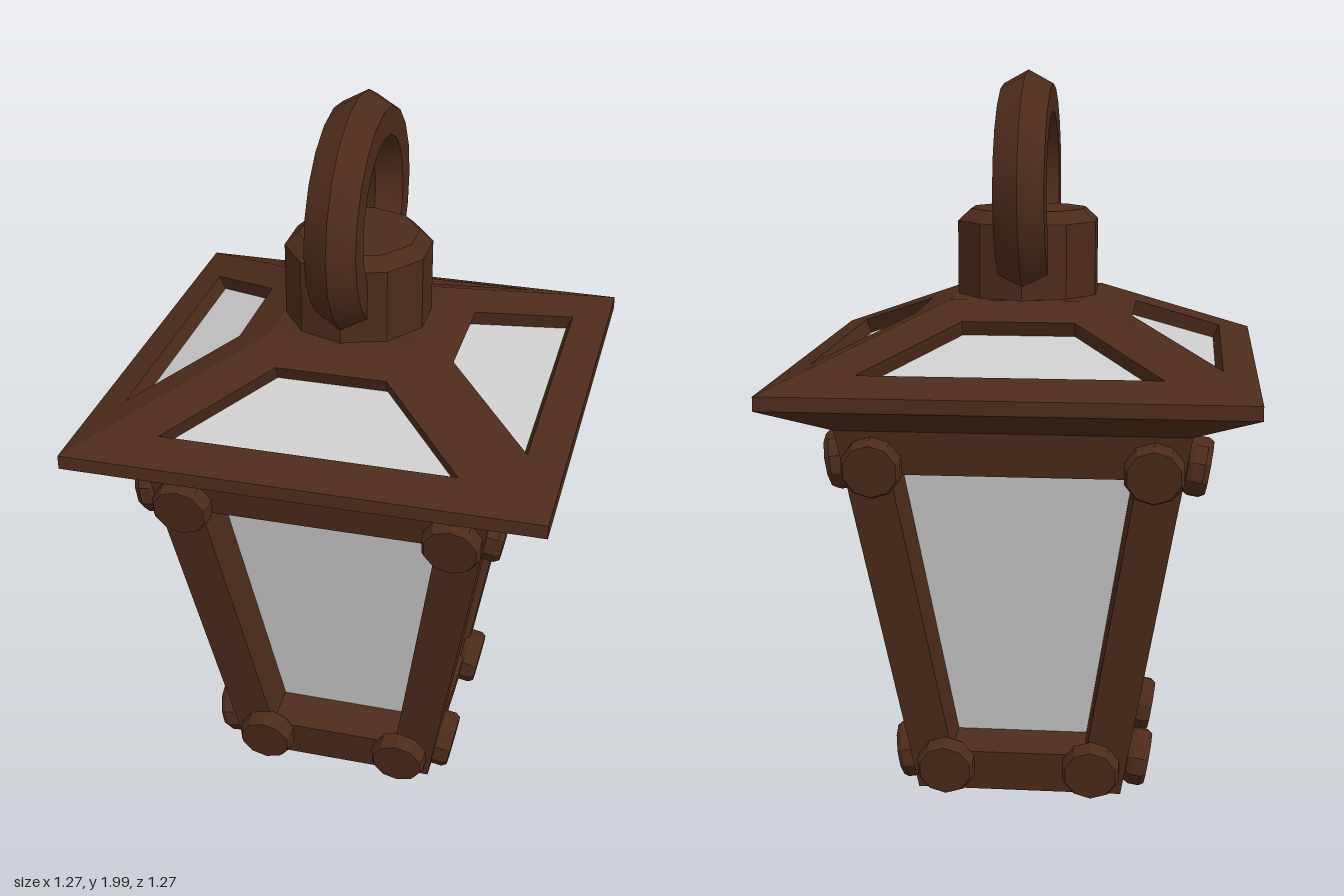
import * as THREE from 'three';
import { toCreasedNormals } from 'three/addons/utils/BufferGeometryUtils.js';

const BROWN = 0x4d2b1b;
const brown = new THREE.MeshStandardMaterial({ color: BROWN, flatShading: true });
const smoothBrown = new THREE.MeshStandardMaterial({ color: BROWN });
const glass = new THREE.MeshStandardMaterial({ color: 0xcccccc, flatShading: true });

function add(parent, name, geometry, material = brown) {
  const mesh = new THREE.Mesh(geometry, material);
  mesh.name = name;
  parent.add(mesh);
  return mesh;
}

// Quads given as four corners each, counter-clockwise from outside
function quads(list) {
  const pts = list.flatMap(([a, b, c, d]) => [a, b, c, a, c, d]);
  const g = new THREE.BufferGeometry().setFromPoints(pts);
  g.computeVertexNormals();
  return g;
}

// Symmetric trapezoid lying on a sloping side: [half width, y, z] at bottom and top
function trapezoid([w0, y0, z0], [w1, y1, z1]) {
  return [[-w0, y0, z0], [w0, y0, z0], [w1, y1, z1], [-w1, y1, z1]].map(p => new THREE.Vector3(...p));
}

// Frame with a recessed pane in its opening
function framedFace(parent, name, outer, hole, depth, taper) {
  const normal = new THREE.Vector3().crossVectors(
    outer[1].clone().sub(outer[0]), outer[3].clone().sub(outer[0])).normalize();
  const deep = hole.map(p => {
    const q = p.clone().addScaledVector(normal, -depth);
    q.x *= taper;
    return q;
  });
  const ring = (a, b) => a.map((_, i) => [a[i], a[(i + 1) % 4], b[(i + 1) % 4], b[i]]);
  add(parent, name + 'Frame', quads([...ring(outer, hole), ...ring(hole, deep)]));
  add(parent, name + 'Glass', quads([deep]), glass);
}

// Square ring of four sloping walls
function squareBand(parent, name, bottomHalf, topHalf, y0, y1) {
  const g = new THREE.CylinderGeometry(topHalf * Math.SQRT2, bottomHalf * Math.SQRT2, y1 - y0, 4, 1, true);
  g.rotateY(Math.PI / 4).translate(0, (y0 + y1) / 2, 0);
  add(parent, name, g);
}

export function createModel() {
  const lantern = new THREE.Group();
  lantern.name = 'lantern';

  // Body wall: half width grows with height
  const Y0 = 0.01, Y1 = 1.08, slope = 0.171;
  const half = y => 0.285 + slope * (y - Y0);
  const tilt = Math.atan(slope);

  // Roof: half width shrinks with height
  const EAVE = 0.637, TOP = 0.195, EAVE_Y = 1.2, TOP_Y = 1.39;
  const roofHalf = y => EAVE - (y - EAVE_Y) * (EAVE - TOP) / (TOP_Y - EAVE_Y);

  // Bolt head: ten-sided disc with bevelled rims
  const boltProfile = [[0, -0.012], [0.074, -0.012], [0.082, 0.002], [0.082, 0.032], [0.073, 0.046], [0, 0.046]]
    .map(p => new THREE.Vector2(...p));
  const boltGeometry = new THREE.LatheGeometry(boltProfile, 10).rotateX(Math.PI / 2);

  for (let k = 0; k < 4; k++) {
    const side = new THREE.Group();
    side.name = 'side' + (k + 1);
    side.rotation.y = k * Math.PI / 2;
    lantern.add(side);

    framedFace(side, 'wall',
      trapezoid([half(Y0), Y0, half(Y0)], [half(Y1), Y1, half(Y1)]),
      trapezoid([0.188, 0.13, half(0.13)], [0.325, 0.96, half(0.96)]), 0.12, 0.975);

    framedFace(side, 'roof',
      trapezoid([EAVE, EAVE_Y, EAVE], [TOP, TOP_Y, TOP]),
      trapezoid([0.393, 1.241, roofHalf(1.241)], [0.15, 1.346, roofHalf(1.346)]), 0.042, 1);

    // The bolts of the right side stand slightly proud
    const proud = k === 3 ? 0.014 : 0;
    for (const [x, y] of [[0.37, 0.985], [0.203, 0.094]]) {
      for (const s of [-1, 1]) {
        const bolt = add(side, 'bolt', boltGeometry);
        bolt.position.set(s * x, y, half(y) + proud);
        bolt.rotation.x = tilt;
      }
    }
  }

  // Roof edge, underside, flat top and the body floor
  squareBand(lantern, 'eave', EAVE, EAVE, 1.162, EAVE_Y);
  squareBand(lantern, 'soffit', half(Y1), EAVE, Y1, 1.162);
  add(lantern, 'roofTop', new THREE.PlaneGeometry(2 * TOP, 2 * TOP).rotateX(-Math.PI / 2).translate(0, TOP_Y, 0));
  add(lantern, 'floor', new THREE.PlaneGeometry(2 * half(Y0), 2 * half(Y0))
    .rotateX(Math.PI / 2).translate(0, Y0, 0));

  // Ten-sided cap with bevelled top
  const capProfile = [[0.2, 1.385], [0.2, 1.592], [0.163, 1.625], [0, 1.625]].map(p => new THREE.Vector2(...p));
  add(lantern, 'cap', new THREE.LatheGeometry(capProfile, 10));

  // Hanging ring: hexagonal in section, slightly flattened in height
  const ringGeometry = new THREE.TorusGeometry(0.259, 0.0785, 6, 20)
    .scale(1, 0.94, 1).rotateY(Math.PI / 2).translate(0, 1.683, 0);
  add(lantern, 'hangingRing', toCreasedNormals(ringGeometry, 0.6), smoothBrown);

  return lantern;
}
